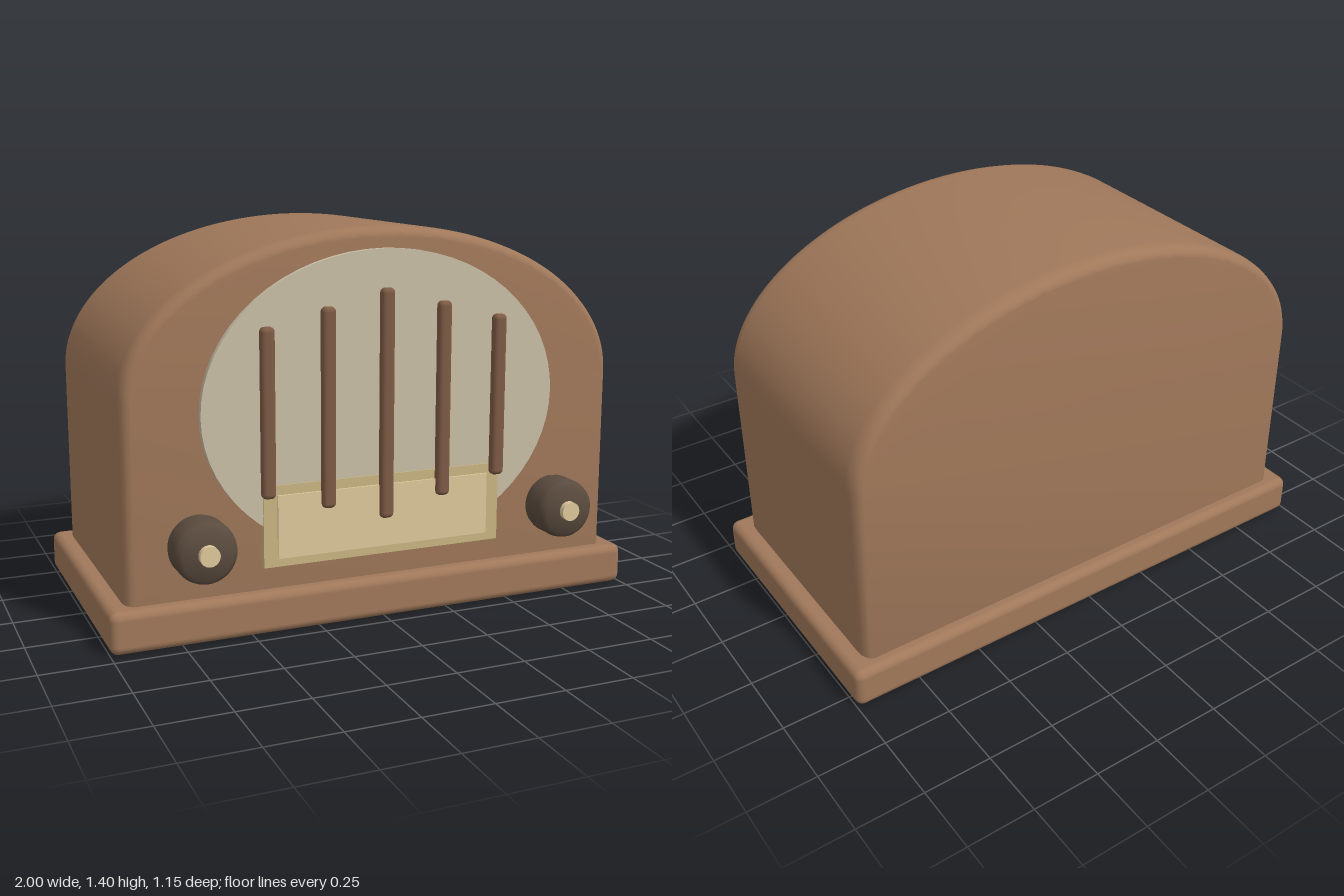
import * as THREE from 'three';
import { toCreasedNormals } from 'three/addons/utils/BufferGeometryUtils.js';
import { RoundedBoxGeometry } from 'three/addons/geometries/RoundedBoxGeometry.js';

const paint = (color) => new THREE.MeshStandardMaterial({ color });

export function createModel() {
  const radio = new THREE.Group();
  radio.name = 'tableRadio';
  const wood = paint(0xa0785a);
  const darkWood = paint(0x7d5b45);
  const cloth = paint(0xcabfa6);
  const brass = paint(0xc9b583);
  const cream = paint(0xdec89c);
  const bakelite = paint(0x5a4b3e);

  const add = (name, geometry, material, x = 0, y = 0, z = 0, parent = radio) => {
    const mesh = new THREE.Mesh(geometry, material);
    mesh.name = name;
    mesh.position.set(x, y, z);
    parent.add(mesh);
    return mesh;
  };
  const roundedBox = (w, h, d, r) => new RoundedBoxGeometry(w, h, d, 3, r);

  // Plinth
  add('base', roundedBox(2, 0.15, 1.03, 0.03), wood, 0, 0.075, -0.057);

  // Cabinet: straight sides under an elliptical arch, softened front and back edges
  const bevel = 0.035, depth = 0.06, front = 0.41, back = -0.525;
  const halfWidth = 0.937 - bevel;
  const outline = new THREE.Shape();
  outline.moveTo(-halfWidth, 0.1);
  outline.lineTo(halfWidth, 0.1);
  outline.lineTo(halfWidth, 0.83);
  outline.absellipse(0, 0.83, halfWidth, 0.565 - bevel, 0, Math.PI, false);
  outline.closePath();
  const cabinet = new THREE.ExtrudeGeometry(outline, {
    depth: front - back - 2 * depth,
    bevelSize: bevel, bevelThickness: depth, bevelSegments: 4, curveSegments: 40,
  });
  add('cabinet', toCreasedNormals(cabinet, 0.6), wood, 0, 0, back + depth);

  // Oval speaker cloth
  const oval = new THREE.CylinderGeometry(1, 1, 0.05, 64);
  oval.rotateX(Math.PI / 2);
  oval.scale(0.67, 0.54, 1);
  add('speakerCloth', oval, cloth, 0, 0.78, 0.407);

  // Tuning dial
  add('dialFrame', new THREE.BoxGeometry(0.91, 0.29, 0.05), brass, 0, 0.38, 0.412);
  add('dialFace', new THREE.BoxGeometry(0.81, 0.225, 0.05), cream, 0, 0.378, 0.42);

  // Vertical grille bars, tallest in the middle
  const bars = [[0, 0.37, 1.187], [0.22, 0.43, 1.132], [0.44, 0.485, 1.075]];
  for (const [x, bottom, top] of bars) {
    for (const side of x ? [-1, 1] : [1]) {
      add('grilleBar', roundedBox(0.05, top - bottom, 0.042, 0.017), darkWood,
        side * x, (bottom + top) / 2, 0.447);
    }
  }

  // Control knobs with a small bright centre
  const profile = [[0, 0], [0.09, 0], [0.104, 0.01], [0.109, 0.03], [0.109, 0.105],
    [0.104, 0.125], [0.088, 0.138], [0, 0.138]].map(([r, h]) => new THREE.Vector2(r, h));
  const knobShape = toCreasedNormals(new THREE.LatheGeometry(profile, 40).rotateX(Math.PI / 2), 0.7);
  const capShape = new THREE.CylinderGeometry(0.035, 0.035, 0.04, 24).rotateX(Math.PI / 2);
  for (const side of [-1, 1]) {
    const knob = new THREE.Group();
    knob.name = side > 0 ? 'leftKnob' : 'rightKnob';
    knob.position.set(side * 0.688, 0.347, 0.415);
    radio.add(knob);
    add('knobBody', knobShape, bakelite, 0, 0, 0, knob);
    add('knobCap', capShape, cream, 0, 0, 0.14, knob);
  }
  return radio;
}
